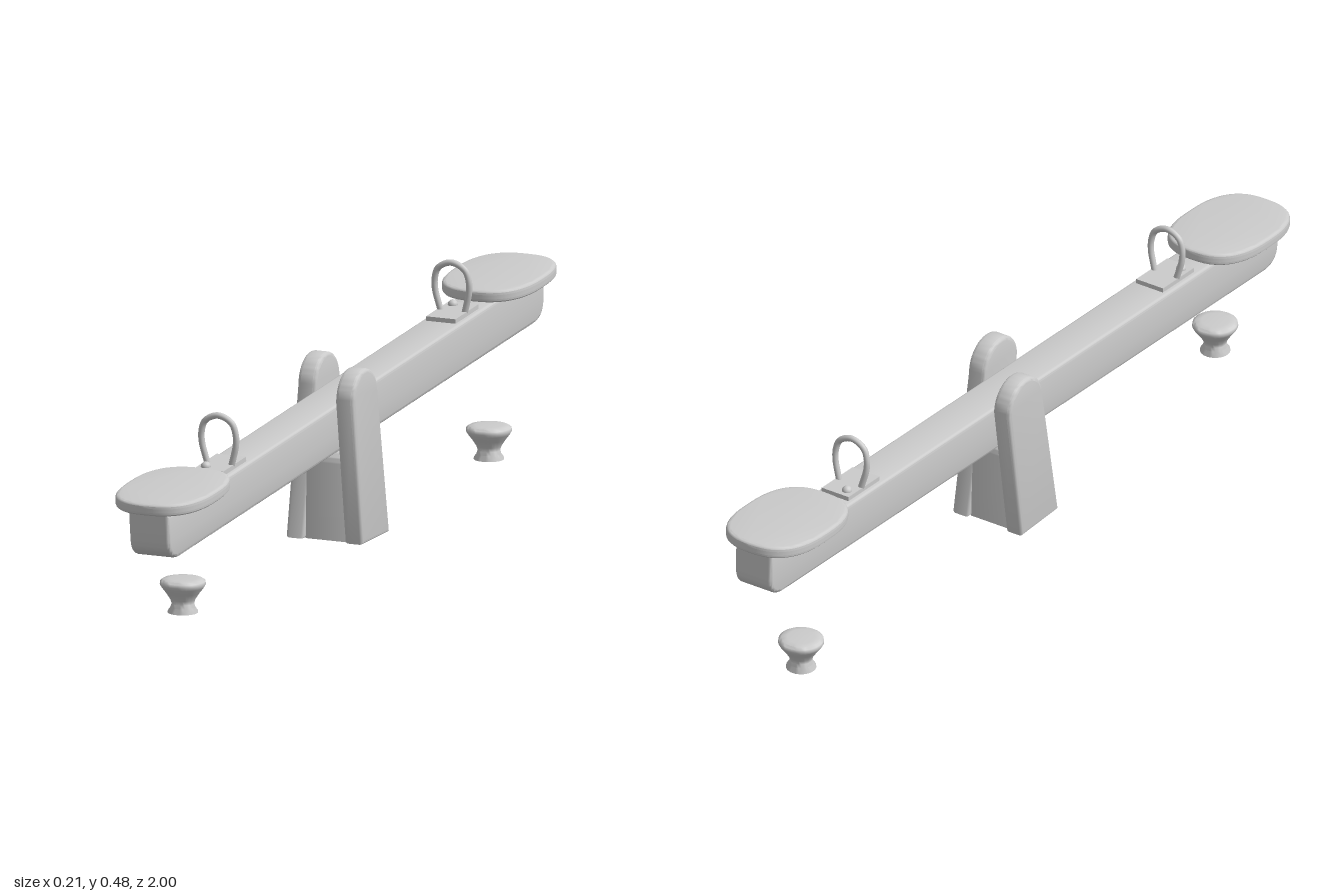
import * as THREE from 'three';
import { toCreasedNormals } from 'three/addons/utils/BufferGeometryUtils.js';

const material = new THREE.MeshStandardMaterial({ color: 0xcccccc });

function add(parent, name, geometry, x = 0, y = 0, z = 0) {
  const mesh = new THREE.Mesh(geometry, material);
  mesh.name = name;
  mesh.position.set(x, y, z);
  parent.add(mesh);
  return mesh;
}

// Extrude an outline with rounded edges; the outline is the full outer size
function slab(shape, depth, bevel) {
  const geo = new THREE.ExtrudeGeometry(shape, {
    depth: depth - 2 * bevel, bevelEnabled: true, bevelSize: bevel,
    bevelOffset: -bevel, bevelThickness: bevel, bevelSegments: 3, curveSegments: 14,
  });
  geo.translate(0, 0, -depth / 2 + bevel);
  return toCreasedNormals(geo, 0.65);
}

// Outline drawn in (z, y), thickness along x
const sideSlab = (shape, width, bevel) => slab(shape, width, bevel).rotateY(-Math.PI / 2);

function beamGeometry() {
  const h = 0.053, l = 0.98, s = new THREE.Shape();
  s.moveTo(-l, h);
  s.lineTo(-l + 0.003, -0.008);
  s.quadraticCurveTo(-l + 0.005, -h, -l + 0.06, -h);
  s.lineTo(l - 0.06, -h);
  s.quadraticCurveTo(l - 0.005, -h, l - 0.003, -0.008);
  s.lineTo(l, h);
  s.closePath();
  return sideSlab(s, 0.095, 0.008);
}

function seatGeometry() {
  const pts = [], n = 56, e = 2 / 2.6;
  for (let i = 0; i < n; i++) {
    const a = (i / n) * Math.PI * 2, c = Math.cos(a), s = Math.sin(a);
    pts.push(new THREE.Vector2(
      0.107 * Math.sign(c) * Math.abs(c) ** e,
      0.15 * Math.sign(s) * Math.abs(s) ** e));
  }
  return slab(new THREE.Shape(pts), 0.027, 0.009).rotateX(-Math.PI / 2);
}

// Leaning post with a domed top
function postGeometry(lean) {
  const s = new THREE.Shape(), cy = 0.322, r = 0.065;
  s.moveTo(-0.07, 0);
  s.lineTo(0.07, 0);
  s.lineTo(lean + r, cy);
  s.absarc(lean, cy, r, 0, Math.PI, false);
  s.closePath();
  const geo = sideSlab(s, 0.044, 0.008);
  return geo;
}

// Hoop that narrows toward its feet
function hoopGeometry() {
  const half = [[0.027, -0.005], [0.034, 0.02], [0.040, 0.045], [0.0405, 0.07], [0.031, 0.096]];
  const pts = [
    ...half.map(([x, y]) => new THREE.Vector3(-x, y, 0)),
    new THREE.Vector3(0, 0.11, 0),
    ...half.slice().reverse().map(([x, y]) => new THREE.Vector3(x, y, 0)),
  ];
  return new THREE.TubeGeometry(new THREE.CatmullRomCurve3(pts), 48, 0.007, 10);
}

function bumperGeometry() {
  const profile = [[0.0001, 0], [0.033, 0], [0.0325, 0.004], [0.027, 0.012], [0.0245, 0.02],
    [0.027, 0.029], [0.036, 0.043], [0.046, 0.056], [0.05, 0.063], [0.049, 0.07],
    [0.043, 0.074], [0.03, 0.0755], [0.0001, 0.076]];
  const pts = profile.map(([x, y]) => new THREE.Vector2(x, y));
  return toCreasedNormals(new THREE.LatheGeometry(pts, 32), 0.9);
}

export function createModel() {
  const model = new THREE.Group();
  model.name = 'seesaw';

  // Tilting assembly
  const rocker = new THREE.Group();
  rocker.name = 'rocker';
  rocker.position.set(0, 0.267, -0.005);
  rocker.rotation.x = 0.066;
  model.add(rocker);
  add(rocker, 'beam', beamGeometry());

  for (const side of [1, -1]) {
    const end = side > 0 ? 'front' : 'back';
    add(rocker, end + 'Seat', seatGeometry(), 0, 0.0675, side * 0.85);
    add(rocker, end + 'HandlePlate', new THREE.BoxGeometry(0.07, 0.012, 0.12), 0, 0.057, side * 0.605);
    add(rocker, end + 'Handle', hoopGeometry(), 0, 0.06, side * 0.607);
    add(rocker, end + 'HandleBolt', new THREE.SphereGeometry(0.011, 16, 10), -0.016, 0.064, side * 0.643);
    add(model, end + 'Bumper', bumperGeometry(), 0, 0, side * 0.795);
  }

  // Posts lean opposite ways on either side of the beam
  add(model, 'leftPost', postGeometry(0.055), 0.07, 0, -0.01);
  add(model, 'rightPost', postGeometry(-0.055), -0.07, 0, -0.01);

  // Centre block joining the posts under the beam
  const block = new THREE.Shape();
  block.moveTo(-0.06, 0);
  block.lineTo(0.06, 0);
  block.lineTo(0.053, 0.165);
  block.quadraticCurveTo(0.052, 0.195, 0.025, 0.195);
  block.lineTo(-0.025, 0.195);
  block.quadraticCurveTo(-0.052, 0.195, -0.053, 0.165);
  block.closePath();
  add(model, 'centreBlock', sideSlab(block, 0.1, 0.002), 0, 0, -0.01);

  return model;
}
